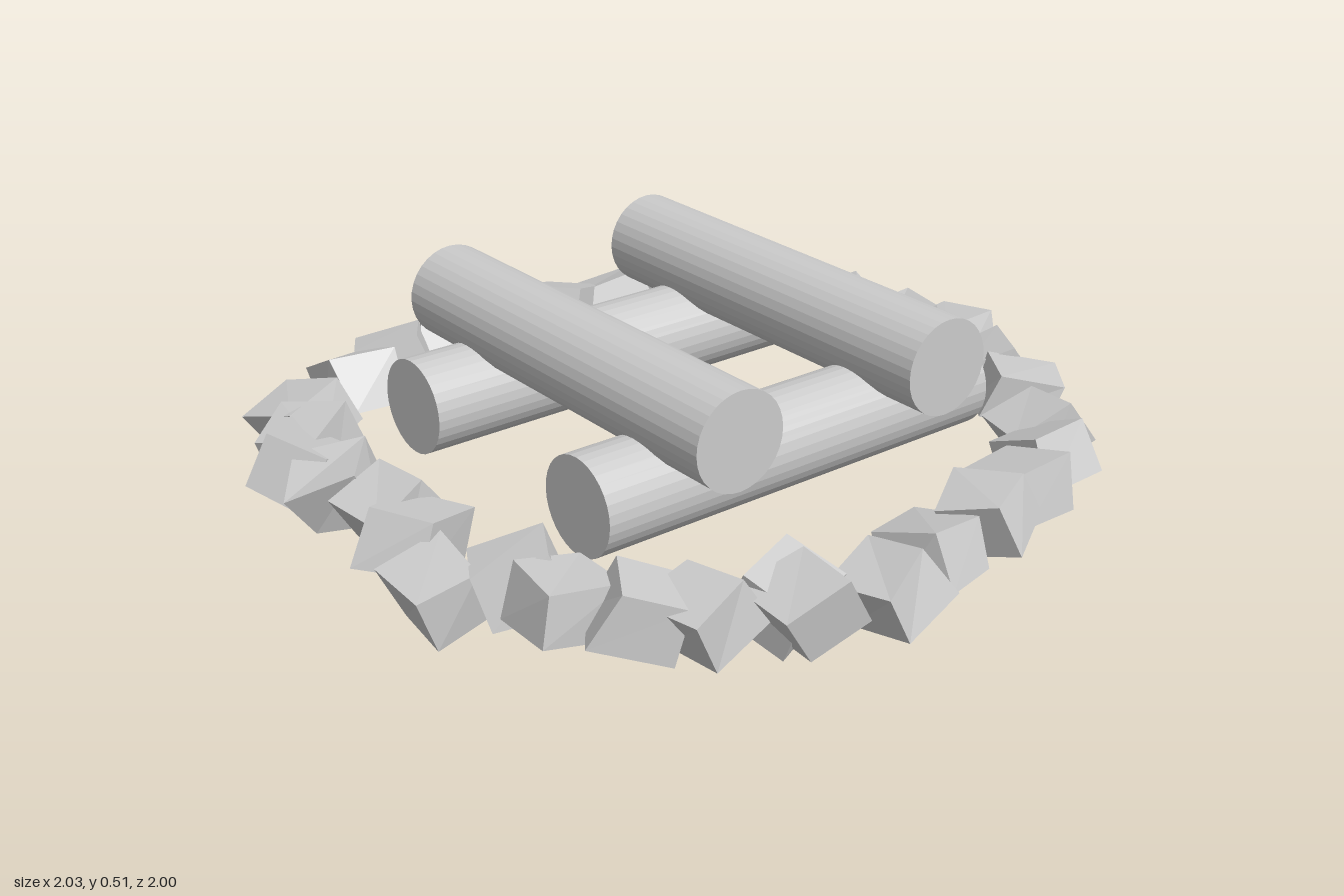
import * as THREE from 'three';

const material = new THREE.MeshStandardMaterial({ color: 0xcccccc, flatShading: true });

// Small seeded generator, returns -1..1
function makeRandom(seed) {
  return () => {
    seed = (seed * 16807) % 2147483647;
    return (seed / 2147483647) * 2 - 1;
  };
}

// Straight log between two points
function makeLog(name, from, to) {
  const a = new THREE.Vector3(...from), b = new THREE.Vector3(...to);
  const log = new THREE.Mesh(new THREE.CylinderGeometry(0.122, 0.122, a.distanceTo(b), 32), material);
  log.name = name;
  log.position.copy(a).add(b).multiplyScalar(0.5);
  log.quaternion.setFromUnitVectors(new THREE.Vector3(0, 1, 0), b.sub(a).normalize());
  return log;
}

// Block whose eight corners are pushed about a little
function makeRoughBlock(size, amount, random) {
  const geometry = new THREE.BoxGeometry(size, size, size);
  const offsets = Array.from({ length: 8 }, () => [random(), random(), random()].map((v) => v * amount));
  const p = geometry.attributes.position;
  for (let i = 0; i < p.count; i++) {
    const [x, y, z] = [p.getX(i), p.getY(i), p.getZ(i)];
    const [dx, dy, dz] = offsets[(x > 0 ? 1 : 0) + (y > 0 ? 2 : 0) + (z > 0 ? 4 : 0)];
    p.setXYZ(i, x + dx, y + dy, z + dz);
  }
  geometry.computeVertexNormals();
  return geometry;
}

// Stones clockwise from the back: x, z, yaw, direction of the side turned upward (degrees)
const STONES = [
  [0.03, -0.83, -31, 320], [0.21, -0.86, 33, 230], [0.40, -0.84, -25, 300], [0.52, -0.76, 0, 250],
  [0.68, -0.69, -33, 300], [0.76, -0.52, -5, 180], [0.84, -0.34, -40, 340], [0.89, -0.16, -10, 345],
  [0.895, 0.02, 3, 270], [0.87, 0.20, -30, 330], [0.80, 0.36, -35, 150], [0.70, 0.52, -12, 350],
  [0.57, 0.66, 0, 270], [0.39, 0.74, 5, 270], [0.22, 0.81, 25, 340], [0.03, 0.82, 12, 270],
  [-0.16, 0.88, 12, 340], [-0.36, 0.84, -5, 0], [-0.36, 0.77, 20, 90], [-0.55, 0.73, 5, 0],
  [-0.65, 0.65, -35, 130], [-0.76, 0.51, -5, 170], [-0.76, 0.36, -30, 300], [-0.89, 0.24, -5, 0],
  [-0.84, 0.06, 30, 200], [-0.81, -0.08, 5, 0], [-0.85, -0.27, -35, 0], [-0.86, -0.41, 30, 180],
  [-0.77, -0.55, 30, 0], [-0.71, -0.69, 20, 330], [-0.51, -0.77, 0, 270], [-0.35, -0.84, -30, 300],
  [-0.16, -0.84, -30, 240],
];
const LOWEST_STONE = 23;

export function createModel() {
  const model = new THREE.Group();
  model.name = 'campfire';

  // Crossed logs: two along x, two resting on top along z
  const logs = new THREE.Group();
  logs.name = 'logs';
  logs.add(
    makeLog('lowerBackLog', [-0.56, 0.215, -0.397], [0.615, 0.215, -0.397]),
    makeLog('lowerFrontLog', [-0.56, 0.215, 0.297], [0.615, 0.215, 0.297]),
    makeLog('upperRightLog', [-0.284, 0.386, -0.637], [-0.294, 0.386, 0.541]),
    makeLog('upperLeftLog', [0.361, 0.386, -0.647], [0.351, 0.386, 0.531]),
  );
  model.add(logs);

  // Ring of tilted, flattened rough stones with roughly level tops; one reaches the ground
  const ring = new THREE.Group();
  ring.name = 'stoneRing';
  const random = makeRandom(4271);
  const rad = THREE.MathUtils.degToRad;
  const lean = new THREE.Matrix4();
  STONES.forEach(([x, z, yaw, side], i) => {
    const axis = new THREE.Vector3(Math.sin(rad(side)), 0, Math.cos(rad(side)));
    const geometry = makeRoughBlock(0.172, 0.013, random);
    geometry.rotateY(rad(yaw));
    geometry.applyMatrix4(lean.makeRotationAxis(axis, rad(20 + 9 * random())));
    geometry.scale(1, 0.77, 1);
    geometry.computeBoundingBox();
    const { min, max } = geometry.boundingBox;
    const stone = new THREE.Mesh(geometry, material);
    stone.name = `stone${i + 1}`;
    stone.position.set(x, i === LOWEST_STONE ? -min.y : 0.232 + 0.012 * random() - max.y, z);
    ring.add(stone);
  });
  model.add(ring);

  return model;
}
